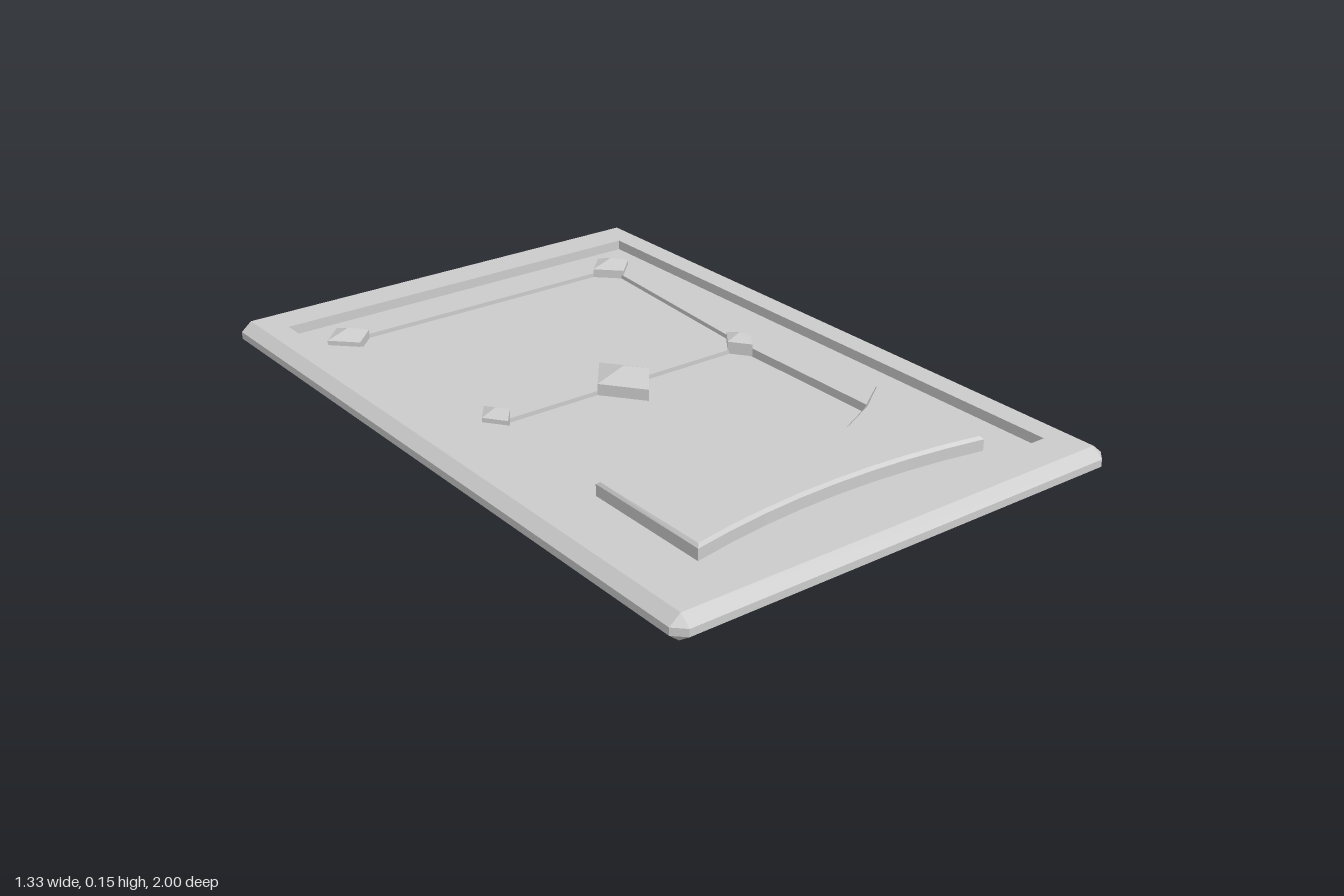
import * as THREE from 'three';
import { mergeGeometries } from 'three/addons/utils/BufferGeometryUtils.js';

const material = new THREE.MeshStandardMaterial({ color: 0xcccccc, flatShading: true });

function add(parent, name, geometry) {
  const mesh = new THREE.Mesh(geometry, material);
  mesh.name = name;
  parent.add(mesh);
  return mesh;
}

// Rectangle with chamfered corners, as eight points
function ring([x, z, y, c = 0]) {
  return [[x, -z + c], [x, z - c], [x - c, z], [-x + c, z], [-x, z - c], [-x, -z + c], [-x + c, -z], [x - c, -z]]
    .map(([px, pz]) => [px, y, pz]);
}

// Skin a series of rectangular rings: [halfWidth, halfLength, height, chamfer]
function loft(sections) {
  const rings = sections.map(ring);
  const positions = [];
  for (let k = 0; k < rings.length - 1; k++) {
    for (let i = 0; i < 8; i++) {
      const j = (i + 1) % 8;
      const a = rings[k][i], b = rings[k][j], c = rings[k + 1][i], d = rings[k + 1][j];
      positions.push(...a, ...b, ...c, ...b, ...d, ...c);
    }
  }
  const geometry = new THREE.BufferGeometry();
  geometry.setAttribute('position', new THREE.Float32BufferAttribute(positions, 3));
  geometry.computeVertexNormals();
  return geometry;
}

// Horizontal slab whose outline is drawn in x and z
function slab(shape, top, depth, bevel = 0) {
  const geometry = new THREE.ExtrudeGeometry(shape, {
    depth: depth - 2 * bevel, curveSegments: 8, bevelEnabled: bevel > 0,
    bevelSize: bevel, bevelThickness: bevel, bevelOffset: -bevel, bevelSegments: 1,
  });
  return geometry.rotateX(Math.PI / 2).translate(0, top - bevel, 0);
}

function outline(points) {
  return new THREE.Shape(points.map(([x, z]) => new THREE.Vector2(x, z)));
}

// Four-sided pyramid on a straight skirt; apex at the origin
function gem(rx, rz, height, skirt) {
  const point = new THREE.ConeGeometry(1, height, 4, 1, true).translate(0, -height / 2, 0);
  const wall = new THREE.CylinderGeometry(1, 1, skirt, 4, 1, true).translate(0, -height - skirt / 2, 0);
  return mergeGeometries([point, wall]).scale(rx, 1, rz);
}

export function createModel() {
  const model = new THREE.Group();
  model.name = 'card';

  // Bevelled rim, sides and back
  add(model, 'cardBody', loft([
    [0.57, 0.87, 0.08], [0.57, 0.87, 0.14], [0.635, 0.97, 0.14],
    [0.665, 1, 0.115, 0.03], [0.665, 1, 0.095, 0.03],
    [0.635, 0.965, 0.07], [0.565, 0.87, 0.053], [0.43, 0.63, 0.053],
  ]));

  // Raised frame and sunken centre on the back
  add(model, 'backFrame', loft([
    [0.43, 0.63, 0.053], [0.37, 0.565, 0.03], [0.32, 0.47, 0.03],
    [0.27, 0.4, 0.05], [0.22, 0.31, 0.046], [0.08, 0.09, 0.035], [0, 0, 0.035],
  ]));

  // Recessed face with an opening for the two sunken panels
  const face = outline([[-0.57, -0.87], [0.57, -0.87], [0.57, 0.87], [-0.57, 0.87]]);
  face.holes.push(outline([[-0.45, -0.75], [-0.4, -0.08], [-0.4, 0.6], [0.4, 0.6], [0.4, -0.08], [0.45, -0.75]]));
  add(model, 'faceBorder', slab(face, 0.112, 0.04));
  add(model, 'upperPanel', slab(outline([[-0.45, -0.75], [0.45, -0.75], [0.4, -0.08], [-0.4, -0.08]]), 0.1, 0.03));
  add(model, 'lowerPanel', slab(outline([[-0.4, -0.08], [0.4, -0.08], [0.4, 0.6], [-0.4, 0.6]]), 0.088, 0.018));

  // Curved plaque near the front edge
  const plaque = new THREE.Shape();
  plaque.moveTo(-0.445, 0.41);
  plaque.quadraticCurveTo(0, 0.755, 0.445, 0.41);
  plaque.lineTo(0.445, 0.79);
  plaque.quadraticCurveTo(0, 0.7, -0.445, 0.79);
  add(model, 'plaque', slab(plaque, 0.151, 0.07, 0.008));

  // Gems on the face
  add(model, 'centreGem', gem(0.085, 0.11, 0.03, 0.035)).position.set(0, 0.15, -0.08);
  for (const side of [-1, 1]) {
    add(model, 'cornerGem', gem(0.065, 0.065, 0.022, 0.03)).position.set(side * 0.45, 0.147, -0.75);
    add(model, 'sideGem', gem(0.042, 0.056, 0.018, 0.035)).position.set(side * 0.4, 0.142, -0.083);
  }

  // Square gem in the middle of the back
  const backGem = gem(1, 1, 0.035, 0.02).rotateY(Math.PI / 4).scale(0.12, 1, 0.127).rotateX(Math.PI);
  add(model, 'backGem', backGem);

  return model;
}
